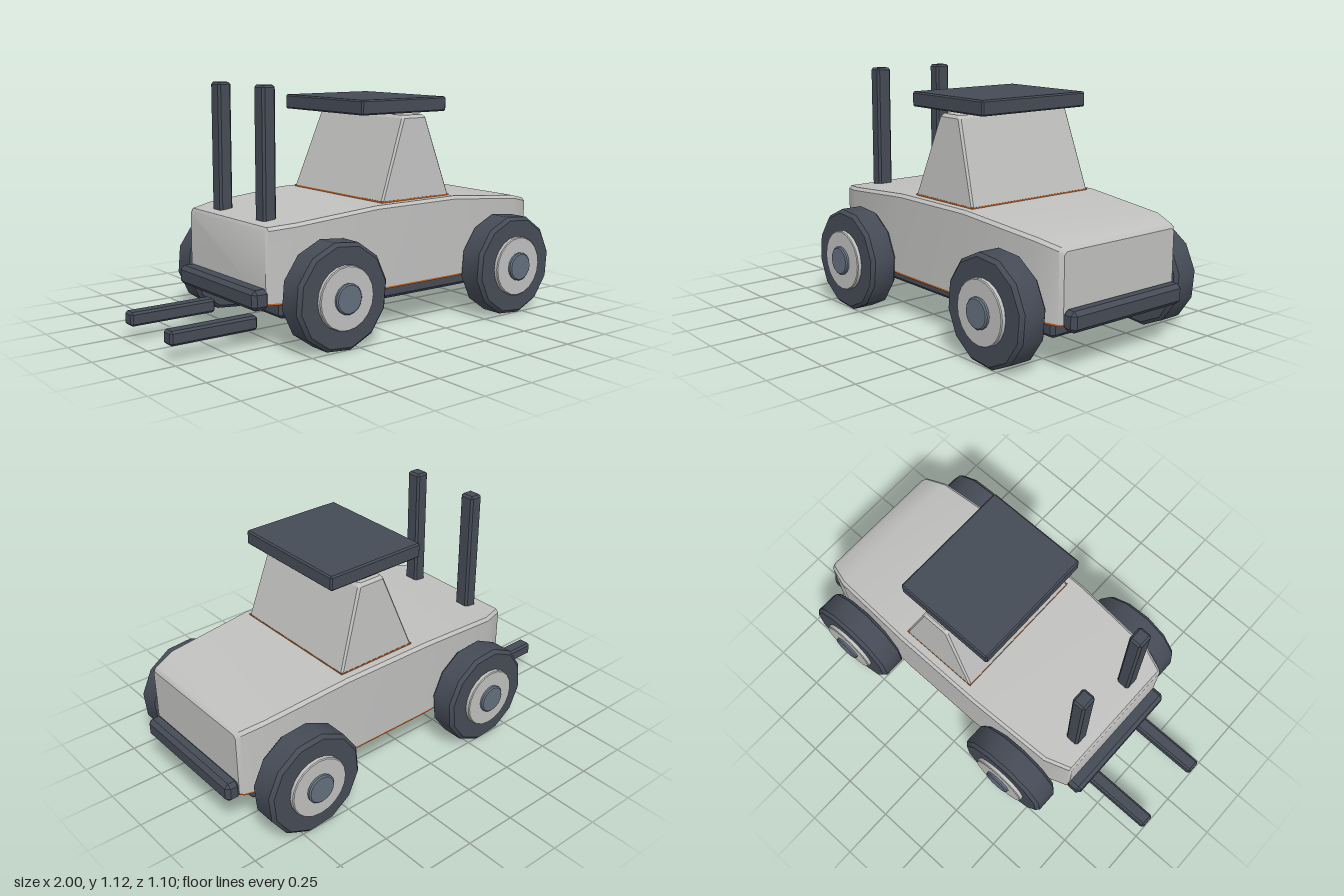
import * as THREE from 'three';
import { toCreasedNormals } from 'three/addons/utils/BufferGeometryUtils.js';
import { ConvexGeometry } from 'three/addons/geometries/ConvexGeometry.js';

const mat = (name, color) => {
  const m = new THREE.MeshStandardMaterial({ color });
  m.name = name;
  return m;
};

// Smooth over gentle turns, sharp at real edges
const creased = (geometry) => toCreasedNormals(geometry, 0.6);

// Box with all edges cut at 45 degrees, given by its limits
function chamferBox(x0, x1, y0, y1, z0, z1, c) {
  const h = [(x1 - x0) / 2, (y1 - y0) / 2, (z1 - z0) / 2];
  const points = [];
  for (const sx of [-1, 1]) for (const sy of [-1, 1]) for (const sz of [-1, 1]) {
    for (let axis = 0; axis < 3; axis++) {
      const k = h.map((v, i) => (i === axis ? v : v - c));
      points.push(new THREE.Vector3(sx * k[0], sy * k[1], sz * k[2]));
    }
  }
  return new ConvexGeometry(points).translate((x0 + x1) / 2, (y0 + y1) / 2, (z0 + z1) / 2);
}

// Closed loft along x; each ring is a list of [x, y, z]
function loft(rings) {
  const n = rings[0].length, index = [];
  for (let r = 0; r < rings.length - 1; r++) {
    for (let i = 0; i < n; i++) {
      const a = r * n + i, b = r * n + (i + 1) % n;
      index.push(a, b, a + n, b, b + n, a + n);
    }
  }
  const last = (rings.length - 1) * n;
  for (let i = 1; i < n - 1; i++) {
    index.push(0, i + 1, i, last, last + i, last + i + 1);
  }
  const g = new THREE.BufferGeometry();
  g.setAttribute('position', new THREE.Float32BufferAttribute(rings.flat(2), 3));
  g.setIndex(index);
  return creased(g);
}

// Body stations: x, top height, half width
const STATIONS = [
  [-0.605, 0.52, 0.315], [-0.595, 0.535, 0.325], [-0.48, 0.548, 0.368], [-0.06, 0.583, 0.39],
  [0.4, 0.585, 0.39], [0.82, 0.546, 0.367], [0.925, 0.52, 0.335], [0.94, 0.505, 0.32],
];
const BASE = 0.212;

function bodyGeometry() {
  const c = 0.014;
  return loft(STATIONS.map(([x, t, w]) => [
    [x, BASE, w], [x, BASE, -w], [x, t - c, -w], [x, t, -w + c], [x, t, w - c], [x, t - c, w],
  ]));
}

function floorGeometry() {
  return loft(STATIONS.map(([x, , w]) => [
    [x, BASE - 0.008, w], [x, BASE - 0.008, -w], [x, BASE, -w], [x, BASE, w],
  ]));
}

// Tapered cabin with softened top and corner edges
function cabinGeometry() {
  const points = [];
  const rect = (x0, x1, y, w, c) => {
    for (const s of [-1, 1]) {
      points.push(new THREE.Vector3(x0, y, s * (w - c)), new THREE.Vector3(x0 + c, y, s * w),
        new THREE.Vector3(x1, y, s * (w - c)), new THREE.Vector3(x1 - c, y, s * w));
    }
  };
  rect(0, 0.4, 0.59, 0.341, 0.008);
  rect(0.139, 0.281, 0.953, 0.315, 0.01);
  rect(0.15, 0.27, 0.967, 0.303, 0.01);
  return new ConvexGeometry(points);
}

// Disc around z with a chamfered rim, from z0 to z1
function disc(radius, z0, z1, c, sides, turn = 0) {
  const profile = [[0, z0], [radius - c, z0], [radius, z0 + c], [radius, z1 - c], [radius - c, z1], [0, z1]]
    .map(([r, z]) => new THREE.Vector2(r, z));
  return creased(new THREE.LatheGeometry(profile, sides, turn).rotateX(Math.PI / 2));
}

export function createModel() {
  const model = new THREE.Group();
  model.name = 'forkTruck';
  const paint = mat('light grey paint', 0xc0c0bf);
  const dark = mat('dark slate', 0x454b56);
  const capMat = mat('blue grey cap', 0x64707e);
  const orange = mat('orange trim', 0xc4601c);

  const add = (name, geometry, material, parent = model) => {
    const mesh = new THREE.Mesh(geometry, material);
    mesh.name = name;
    parent.add(mesh);
  };

  // Body, floor trim and chassis
  add('body', bodyGeometry(), paint);
  add('floorTrim', floorGeometry(), orange);
  add('chassis', chamferBox(-0.53, 0.87, 0.13, 0.206, -0.31, 0.31, 0.015), dark);

  // Cabin with trim below and canopy above
  add('cabin', cabinGeometry(), paint);
  add('cabinTrim', new THREE.BoxGeometry(0.402, 0.009, 0.684).translate(0.2, 0.5865, 0), orange);
  add('canopy', chamferBox(-0.082, 0.417, 0.975, 1.043, -0.3, 0.3, 0.007), dark);

  // Bumpers
  add('frontBumper', chamferBox(0.93, 1.0, 0.185, 0.274, -0.322, 0.322, 0.018), dark);
  add('rearBumper', chamferBox(-0.67, -0.585, 0.185, 0.274, -0.322, 0.322, 0.018), dark);

  // Forks and masts in mirrored pairs
  for (const z of [-0.18, 0.18]) {
    add('fork', chamferBox(-1, -0.58, 0.072, 0.135, z - 0.034, z + 0.034, 0.01), dark);
    add('mast', chamferBox(-0.546, -0.48, 0.5, 1.118, z - 0.038, z + 0.038, 0.01), dark);
  }

  // Wheels: tyre, hub and cap
  const deg = Math.PI / 180;
  for (const side of [-1, 1]) {
    for (const x of [-0.342, 0.68]) {
      const wheel = new THREE.Group();
      wheel.name = 'wheel';
      wheel.position.set(x, 0.239, 0);
      if (side < 0) wheel.rotation.y = Math.PI;
      add('tyre', disc(0.24, 0.38, 0.515, 0.016, 12, (side > 0 ? 10 : 20) * deg), dark, wheel);
      add('hub', disc(0.141, 0.5, 0.535, 0.004, 20), paint, wheel);
      add('hubCap', disc(0.067, 0.52, 0.551, 0.006, 16), capMat, wheel);
      model.add(wheel);
    }
  }
  return model;
}
